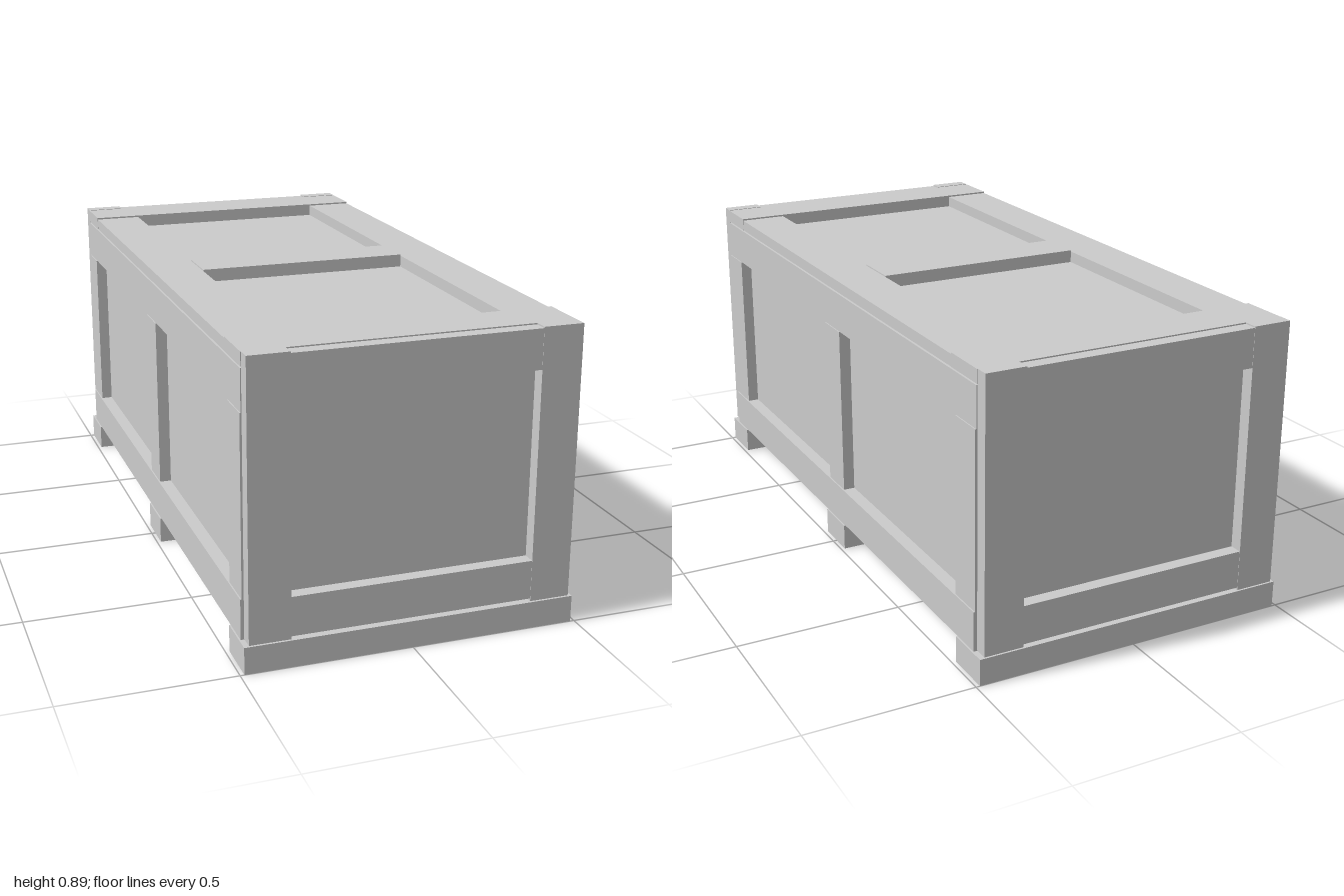
import * as THREE from 'three';

const material = new THREE.MeshStandardMaterial({ color: 0xcccccc, flatShading: true });

// Box given by its limits on each axis
function board(parent, name, [x0, x1], [y0, y1], [z0, z1]) {
  const mesh = new THREE.Mesh(new THREE.BoxGeometry(x1 - x0, y1 - y0, z1 - z0), material);
  mesh.name = name;
  mesh.position.set((x0 + x1) / 2, (y0 + y1) / 2, (z0 + z1) / 2);
  parent.add(mesh);
}

function section(parent, name) {
  const group = new THREE.Group();
  group.name = name;
  parent.add(group);
  return group;
}

// Limits mirrored to the given side
const mirror = (s, a, b) => (s > 0 ? [a, b] : [-b, -a]);

export function createModel() {
  const crate = new THREE.Group();
  crate.name = 'crate';

  // Inner box whose faces are the recessed panels
  board(crate, 'panels', [-0.445, 0.445], [0.097, 0.847], [-0.96, 0.96]);

  // Skids underneath
  const skids = section(crate, 'skids');
  for (const z of [-0.929, 0.004, 0.929]) {
    board(skids, 'skid', [-0.488, 0.488], [0, 0.08], [z - 0.071, z + 0.071]);
  }

  // Frames of the two square ends
  for (const s of [1, -1]) {
    const end = section(crate, s > 0 ? 'frontFrame' : 'backFrame');
    for (const m of [1, -1]) {
      board(end, 'endStile', mirror(m, 0.356, 0.475), [0.084, 0.888], mirror(s, 0.958, 1));
    }
    board(end, 'endTopRail', [-0.356, 0.356], [0.768, 0.884], mirror(s, 0.958, 0.999));
    board(end, 'endBottomRail', [-0.356, 0.356], [0.092, 0.208], mirror(s, 0.958, 0.999));
  }

  // Frames of the two long sides
  for (const s of [1, -1]) {
    const side = section(crate, s > 0 ? 'leftFrame' : 'rightFrame');
    board(side, 'sideTopRail', mirror(s, 0.44, 0.477), [0.724, 0.843], [-0.955, 0.955]);
    board(side, 'sideBottomRail', mirror(s, 0.44, 0.484), [0.081, 0.2], [-0.955, 0.955]);
    for (const z of [-0.898, 0, 0.898]) {
      board(side, 'sideUpright', mirror(s, 0.44, 0.48), [0.2, 0.724], [z - 0.057, z + 0.057]);
    }
  }

  // Lid frame with a cross batten
  const lid = section(crate, 'lidFrame');
  for (const s of [1, -1]) {
    board(lid, 'lidSideRail', mirror(s, 0.328, 0.475), [0.847, 0.882], [-0.811, 0.811]);
    board(lid, 'lidEndRail', [-0.476, 0.476], [0.847, 0.887], mirror(s, 0.811, 0.956));
  }
  board(lid, 'lidBatten', [-0.328, 0.328], [0.847, 0.886], [-0.072, 0.072]);

  return crate;
}
